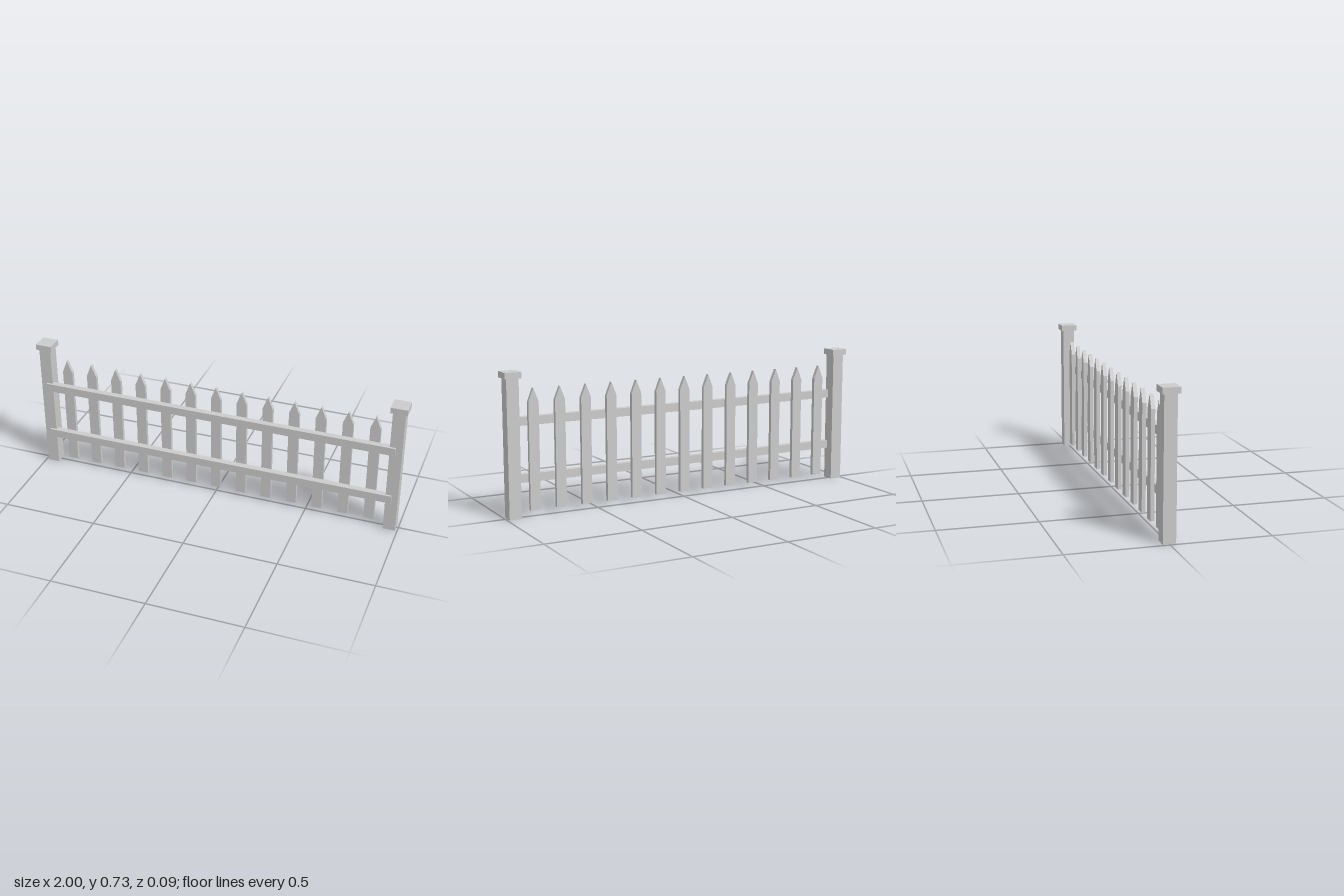
import * as THREE from 'three';

export function createModel() {
  const fence = new THREE.Group();
  fence.name = 'picketFence';
  const material = new THREE.MeshStandardMaterial({ color: 0xcccccc, flatShading: true });

  const add = (name, geometry, x, y, z) => {
    const mesh = new THREE.Mesh(geometry, material);
    mesh.name = name;
    mesh.position.set(x, y, z);
    fence.add(mesh);
  };

  // End posts with flat overhanging caps
  const post = new THREE.BoxGeometry(0.064, 0.7, 0.064);
  const cap = new THREE.BoxGeometry(0.087, 0.031, 0.087);
  for (const [side, s] of [['left', 1], ['right', -1]]) {
    add(side + 'Post', post, s * 0.9565, 0.35, 0);
    add(side + 'PostCap', cap, s * 0.9565, 0.7155, 0);
  }

  // Horizontal rails across the front of the pickets
  const rail = new THREE.BoxGeometry(1.913, 0.043, 0.033);
  add('lowerRail', rail, 0, 0.192, 0.0275);
  add('upperRail', rail, 0, 0.479, 0.0275);

  // Pointed pickets
  const w = 0.027, bottom = 0.03, shoulder = 0.575, tip = 0.643, depth = 0.02;
  const outline = new THREE.Shape([
    new THREE.Vector2(-w, bottom),
    new THREE.Vector2(w, bottom),
    new THREE.Vector2(w, shoulder),
    new THREE.Vector2(0, tip),
    new THREE.Vector2(-w, shoulder),
  ]);
  const picket = new THREE.ExtrudeGeometry(outline, { depth, bevelEnabled: false });
  picket.translate(0, 0, -depth / 2);
  const count = 13, spacing = 0.1403;
  for (let i = 0; i < count; i++) {
    add('picket' + (i + 1), picket, (i - (count - 1) / 2) * spacing, 0, 0);
  }
  return fence;
}
